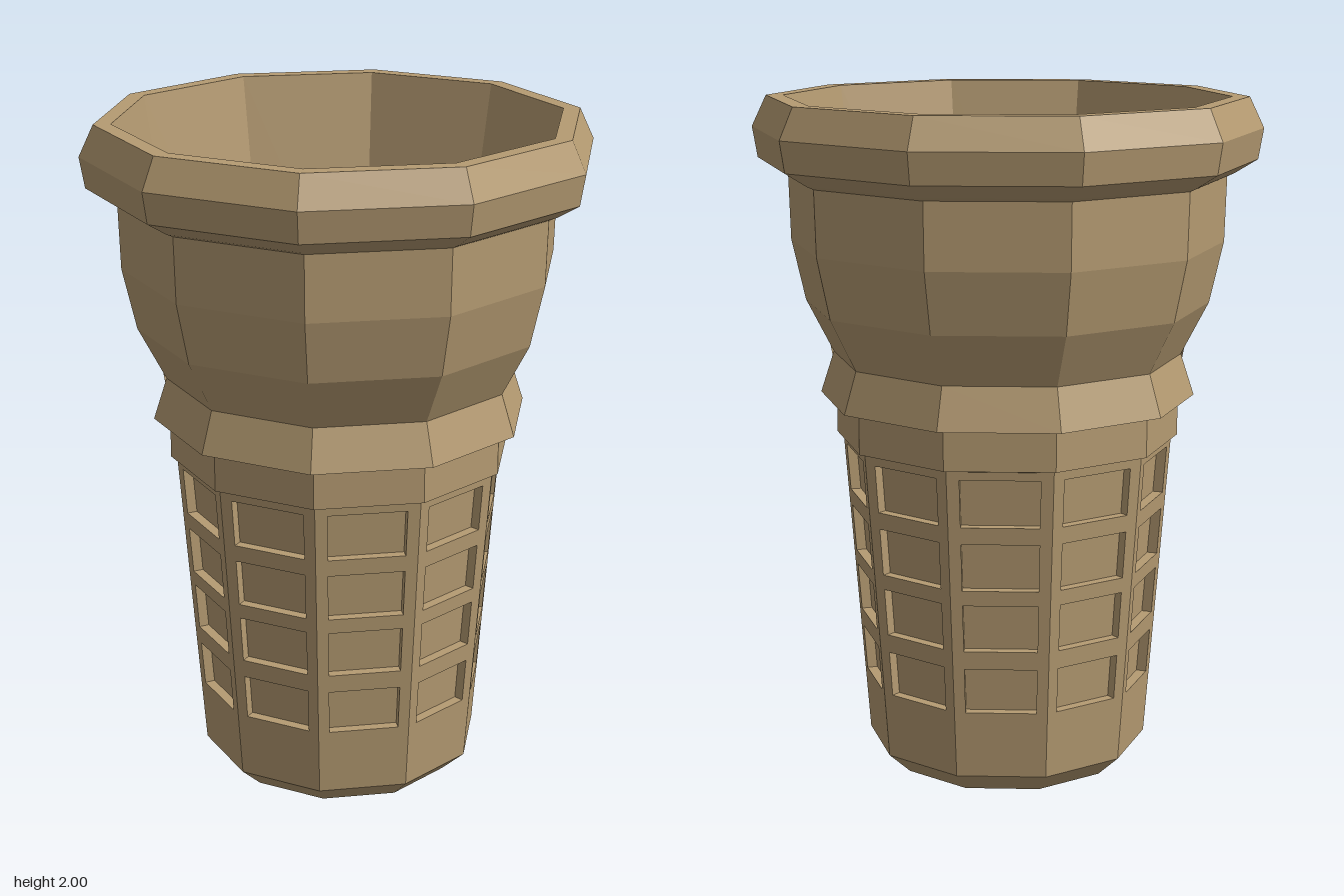
import * as THREE from 'three';

const SIDES = 10;
const START = THREE.MathUtils.degToRad(20);
const STEP = (Math.PI * 2) / SIDES;

const wafer = new THREE.MeshStandardMaterial({ color: 0xb59b72, flatShading: true });

// Ten-sided turned part from [radius, height] pairs
function turned(name, profile) {
  const points = profile.map(([r, y]) => new THREE.Vector2(r, y));
  const mesh = new THREE.Mesh(new THREE.LatheGeometry(points, SIDES, START), wafer);
  mesh.name = name;
  return mesh;
}

// Tapered wall whose facets each carry a column of recessed windows
function waffleWall() {
  const levels = [0.065, 0.265, 0.4, 0.455, 0.595, 0.64, 0.78, 0.83, 0.97, 0.995];
  const columns = [0, 0.12, 0.88, 1];
  const depth = 0.03;
  const radiusAt = (y) => THREE.MathUtils.mapLinear(y, 0.065, 0.995, 0.42, 0.49);
  const positions = [];

  const quad = (a, b, c, d) => {
    for (const p of [a, b, c, a, c, d]) positions.push(p.x, p.y, p.z);
  };

  for (let side = 0; side < SIDES; side++) {
    const phi = START + side * STEP;
    const mid = phi + STEP / 2;
    const inward = new THREE.Vector3(-Math.sin(mid), 0, -Math.cos(mid)).multiplyScalar(depth);
    const corner = (angle, y) => new THREE.Vector3(Math.sin(angle), 0, Math.cos(angle))
      .multiplyScalar(radiusAt(y)).setY(y);
    const at = (u, y) => corner(phi, y).lerp(corner(phi + STEP, y), u);

    for (let row = 0; row < levels.length - 1; row++) {
      for (let col = 0; col < 3; col++) {
        const [y0, y1] = [levels[row], levels[row + 1]];
        const [u0, u1] = [columns[col], columns[col + 1]];
        const outer = [at(u0, y0), at(u1, y0), at(u1, y1), at(u0, y1)];
        if (row % 2 === 1 && col === 1) {
          // window: sunken floor and four side walls
          const inner = outer.map((p) => p.clone().add(inward));
          quad(...inner);
          for (let i = 0; i < 4; i++) {
            const j = (i + 1) % 4;
            quad(outer[i], outer[j], inner[j], inner[i]);
          }
        } else {
          quad(...outer);
        }
      }
    }
  }

  const geometry = new THREE.BufferGeometry();
  geometry.setAttribute('position', new THREE.Float32BufferAttribute(positions, 3));
  geometry.computeVertexNormals();
  const mesh = new THREE.Mesh(geometry, wafer);
  mesh.name = 'waffleWall';
  return mesh;
}

export function createModel() {
  const cone = new THREE.Group();
  cone.name = 'waferCup';

  // Chamfered foot
  cone.add(turned('foot', [[0, 0], [0.35, 0], [0.42, 0.065]]));

  // Windowed lower cup
  cone.add(waffleWall());

  // Neck band and flared collar
  cone.add(turned('neckCollar', [
    [0.49, 0.995], [0.508, 1.0], [0.508, 1.115], [0.555, 1.122], [0.515, 1.245],
  ]));

  // Rounded bowl and its rolled lip
  cone.add(turned('bowl', [
    [0.515, 1.245], [0.595, 1.4], [0.635, 1.58], [0.64, 1.77],
  ]));
  cone.add(turned('lip', [
    [0.64, 1.77], [0.662, 1.78], [0.728, 1.82], [0.743, 1.91], [0.7, 2], [0.65, 2],
  ]));

  // Hollow inside with a flat floor
  cone.add(turned('hollow', [[0.65, 2], [0.5, 1.12], [0.367, 0.72], [0, 0.72]]));

  return cone;
}
